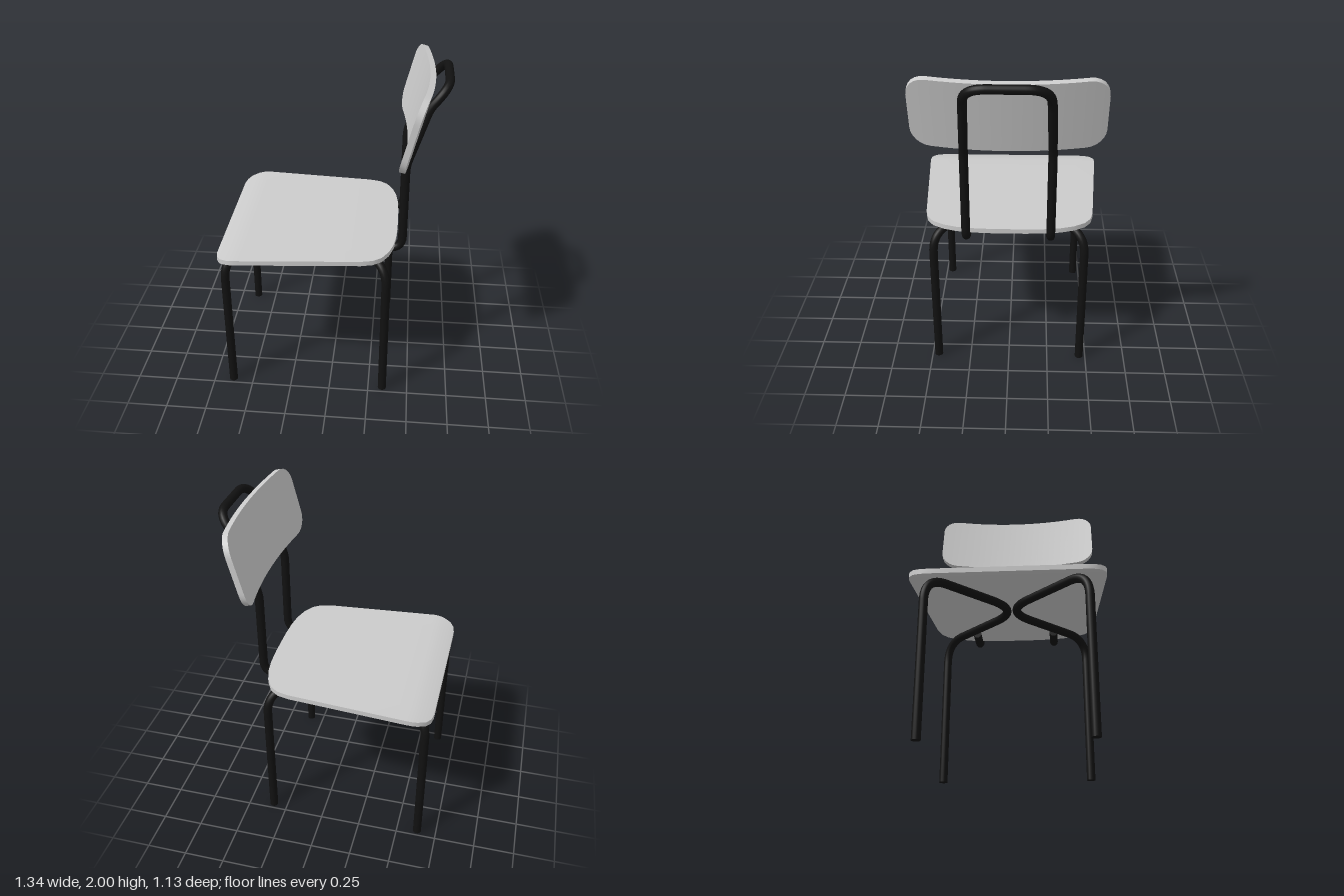
import * as THREE from 'three';
import { toCreasedNormals } from 'three/addons/utils/BufferGeometryUtils.js';

const RADIUS = 0.026;
const V = (x, y, z) => new THREE.Vector3(x, y, z);

// Polyline whose corners are rounded; each entry is [x, y, z, trim].
function roundedPath(points) {
  const path = new THREE.CurvePath();
  const p = points.map(([x, y, z]) => V(x, y, z));
  let from = p[0];
  for (let i = 1; i < p.length - 1; i++) {
    const trim = points[i][3];
    const a = p[i].clone().add(p[i - 1].clone().sub(p[i]).setLength(trim));
    const b = p[i].clone().add(p[i + 1].clone().sub(p[i]).setLength(trim));
    path.add(new THREE.LineCurve3(from, a));
    path.add(new THREE.QuadraticBezierCurve3(a, p[i], b));
    from = b;
  }
  path.add(new THREE.LineCurve3(from, p[p.length - 1]));
  return path;
}

// Bent steel tube with closed ends.
function bentTube(name, points, material) {
  const group = new THREE.Group();
  group.name = name;
  const path = roundedPath(points);
  const tube = new THREE.Mesh(new THREE.TubeGeometry(path, 160, RADIUS, 16), material);
  tube.name = name + 'Tube';
  group.add(tube);
  for (const t of [0, 1]) {
    const cap = new THREE.Mesh(new THREE.CircleGeometry(RADIUS, 16), material);
    const out = path.getTangent(t).multiplyScalar(t ? 1 : -1);
    cap.name = name + 'Cap';
    cap.position.copy(path.getPoint(t));
    cap.quaternion.setFromUnitVectors(V(0, 0, 1), out);
    group.add(cap);
  }
  return group;
}

// Thin panel: stations are [position, half width]; place(u, w, t) gives the
// final point, with t running from -0.5 to 0.5 through the thickness.
function panel(name, stations, place, material) {
  const n = stations.length - 1;
  const geometry = new THREE.BoxGeometry(1, 1, 1, n, 1, 8);
  const pos = geometry.attributes.position;
  for (let i = 0; i < pos.count; i++) {
    const [u, half] = stations[Math.round((pos.getX(i) + 0.5) * n)];
    const q = place(u, pos.getZ(i) * 2 * half, pos.getY(i));
    pos.setXYZ(i, q.x, q.y, q.z);
  }
  const mesh = new THREE.Mesh(toCreasedNormals(geometry, 0.6), material);
  mesh.name = name;
  return mesh;
}

export function createModel() {
  const model = new THREE.Group();
  model.name = 'chair';
  const grey = new THREE.MeshStandardMaterial({ color: 0xcccccc });
  const black = new THREE.MeshStandardMaterial({ color: 0x111111 });

  // Seat: tapered, rounded corners, front edge (-x) rolled down
  const seatOutline = [
    [-0.67, 0.44], [-0.66, 0.49], [-0.635, 0.53], [-0.59, 0.557], [-0.56, 0.565], [-0.52, 0.567],
    [0.19, 0.51], [0.26, 0.493], [0.31, 0.457], [0.35, 0.39], [0.375, 0.31], [0.388, 0.22], [0.394, 0.1],
  ];
  model.add(panel('seat', seatOutline, (x, z, t) => {
    const roll = Math.max(0, (-0.5 - x) / 0.17);
    return V(x, 0.985 + t * 0.03 - 0.03 * roll * roll, z);
  }, grey));

  // Backrest: rounded rectangle, bowed backwards and leaned
  const halfLength = 0.54, halfHeight = 0.22, corner = 0.11;
  const backOutline = [];
  for (let i = 0; i <= 6; i++) {
    const a = (i / 6) * Math.PI / 2;
    backOutline.push([-halfLength + corner * (1 - Math.cos(a)), halfHeight - corner * (1 - Math.sin(a))]);
  }
  for (let i = 1; i < 12; i++) backOutline.push([(i / 6 - 1) * (halfLength - corner), halfHeight]);
  for (let i = 6; i >= 0; i--) backOutline.push([-backOutline[i][0], backOutline[i][1]]);
  const lean = 0.25, cos = Math.cos(lean), sin = Math.sin(lean);
  model.add(panel('backrest', backOutline, (z, h, t) => {
    const depth = 0.06 * (1 - (z / halfLength) ** 2) - t * 0.034;
    return V(0.441 + h * sin + depth * cos, 1.776 + h * cos - depth * sin, -z);
  }, grey));

  // Leg frames: each joins a front and a back leg, bowing in under the seat
  for (const s of [1, -1]) {
    model.add(bentTube(s > 0 ? 'leftLegFrame' : 'rightLegFrame', [
      [0.34, 0, s * 0.46],
      [0.34, 0.943, s * 0.46, 0.15],
      [-0.145, 0.943, s * -0.049, 0.217],
      [-0.63, 0.943, s * 0.46, 0.15],
      [-0.63, 0, s * 0.46],
    ], black));
  }

  // Back frame: one hoop from under the seat, up and over as a handle
  const side = [
    [0.2, 0.943, 0.25],
    [0.425, 0.943, 0.25, 0.08],
    [0.425, 1.5, 0.25, 0.04],
    [0.54, 1.85, 0.237, 0.04],
    [0.645, 1.974, 0.222, 0.12],
  ];
  const mirrored = side.map(([x, y, z, trim]) => [x, y, -z, trim]).reverse();
  model.add(bentTube('backFrame', [...side, ...mirrored], black));

  return model;
}
